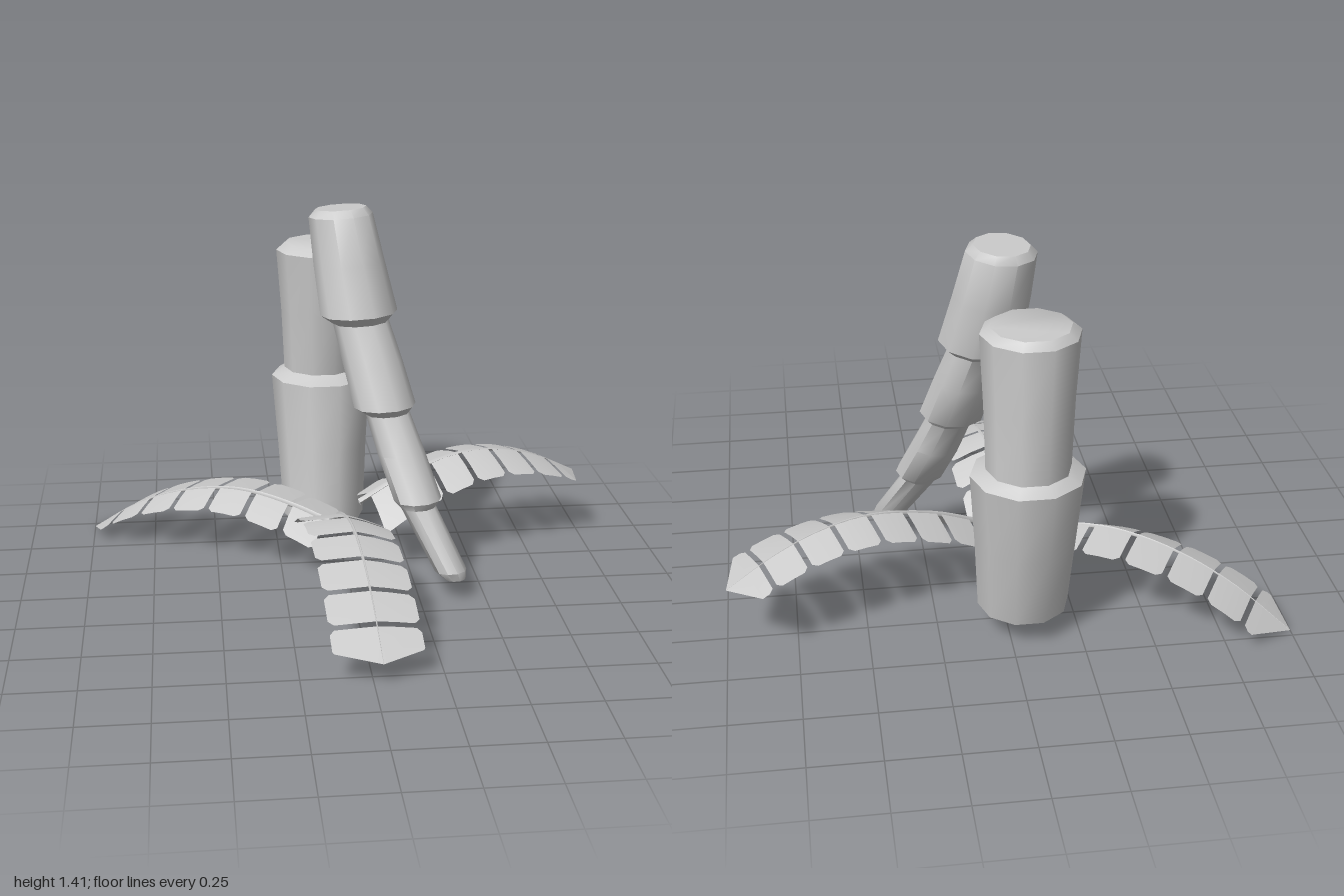
import * as THREE from 'three';
import { toCreasedNormals } from 'three/addons/utils/BufferGeometryUtils.js';

const SIDES = 10;

// Skin through ten-sided rings [x, y, z, radius], listed from bottom to top, closed at both ends
function loft(rings, tilt) {
  const pos = [], index = [];
  for (const [x, y, z, r] of rings) {
    for (let i = 0; i < SIDES; i++) {
      const a = (i / SIDES) * Math.PI * 2;
      const dx = r * Math.cos(a), dz = r * Math.sin(a);
      pos.push(x + dx, y + tilt * (dx + dz), z + dz);
    }
  }
  for (let k = 0; k < rings.length - 1; k++) {
    for (let i = 0; i < SIDES; i++) {
      const a = k * SIDES + i, b = k * SIDES + (i + 1) % SIDES;
      index.push(a, a + SIDES, b, b, a + SIDES, b + SIDES);
    }
  }
  const last = (rings.length - 1) * SIDES;
  for (let i = 1; i < SIDES - 1; i++) {
    index.push(0, i, i + 1, last, last + i + 1, last + i);
  }
  const geo = new THREE.BufferGeometry();
  geo.setAttribute('position', new THREE.Float32BufferAttribute(pos, 3));
  geo.setIndex(index);
  return toCreasedNormals(geo, THREE.MathUtils.degToRad(40));
}

// One side of a frond: seven rounded leaflets hanging from the spine
function leaflets(curve, side, { width, droop, setback }) {
  const pos = [], index = [];
  const count = 7, start = 0.05, pitch = (1 - start) / count, gap = 0.018;
  const tip = curve.getPoint(1), base = curve.getPoint(0);
  const along = new THREE.Vector3(tip.x - base.x, 0, tip.z - base.z).normalize();
  const across = new THREE.Vector3(along.z, 0, -along.x).multiplyScalar(side);
  const length = curve.getLength();
  for (let n = 0; n < count; n++) {
    const isTip = n === count - 1;
    const s0 = start + n * pitch, s1 = isTip ? 1 : s0 + pitch - gap;
    const corner = 1 - setback / length / (s1 - s0);
    // [position along the leaflet, share of the full width]
    const columns = isTip
      ? [[0, 0.9], [0.12, 1], [corner * 0.9, 1], [corner, 0.96], [1, 0]]
      : [[0, 0.88], [0.14, 1], [0.5, 1], [0.86, 1], [1, 0.88]];
    const first = pos.length / 3;
    for (const [u, share] of columns) {
      const s = s0 + (s1 - s0) * u;
      const p = curve.getPointAt(s);
      const w = width * share * (n === 0 ? 0.92 : 1);
      for (const v of [0, 0.5, 1]) {
        const q = p.clone().addScaledVector(across, w * v);
        q.y -= droop * (1 - 0.85 * s) * share * v * (0.75 + 0.25 * v);
        pos.push(q.x, q.y, q.z);
      }
    }
    for (let c = 0; c < columns.length - 1; c++) {
      for (let v = 0; v < 2; v++) {
        const a = first + c * 3 + v, b = a + 3;
        if (side > 0) index.push(a, b, a + 1, a + 1, b, b + 1);
        else index.push(a, a + 1, b, a + 1, b + 1, b);
      }
    }
  }
  const geo = new THREE.BufferGeometry();
  geo.setAttribute('position', new THREE.Float32BufferAttribute(pos, 3));
  geo.setIndex(index);
  geo.computeVertexNormals();
  return geo;
}

export function createModel() {
  const model = new THREE.Group();
  model.name = 'palmTreeParts';
  const bark = new THREE.MeshStandardMaterial({ color: 0xcccccc });
  const leaf = new THREE.MeshStandardMaterial({ color: 0xcccccc, side: THREE.DoubleSide });

  const add = (parent, name, geometry, material) => {
    const mesh = new THREE.Mesh(geometry, material);
    mesh.name = name;
    parent.add(mesh);
  };

  // Thick trunk: two stacked segments with bevelled rims
  add(model, 'thickTrunk', loft([
    [-0.055, 0.11, -0.545, 0.163],
    [-0.055, 0.4, -0.595, 0.18],
    [-0.055, 0.68, -0.63, 0.2],
    [-0.055, 0.71, -0.642, 0.148],
    [-0.057, 0.95, -0.632, 0.156],
    [-0.06, 1.2, -0.622, 0.171],
    [-0.06, 1.227, -0.63, 0.138],
  ], 0), bark);

  // Leaning trunk: four segments, each flaring out over the one below
  add(model, 'leaningTrunk', loft([
    [0.385, 0.09, 0.14, 0.04],
    [0.368, 0.122, 0.13, 0.06],
    [0.26, 0.335, 0.01, 0.066],
    [0.258, 0.362, 0, 0.09],
    [0.205, 0.52, -0.09, 0.09],
    [0.16, 0.66, -0.155, 0.084],
    [0.15, 0.688, -0.16, 0.118],
    [0.108, 0.85, -0.225, 0.114],
    [0.07, 0.99, -0.277, 0.107],
    [0.063, 1.023, -0.285, 0.148],
    [0.03, 1.21, -0.335, 0.136],
    [0.002, 1.385, -0.372, 0.123],
    [0.002, 1.412, -0.38, 0.098],
  ], 0.06), bark);

  // Fronds: spine points, then the two leaflet sides seen from the base
  const fronds = [
    {
      name: 'frontFrond',
      spine: [[-0.06, 0.23, -0.15], [-0.04, 0.335, 0.05], [-0.02, 0.365, 0.22],
        [0, 0.32, 0.43], [0.015, 0.23, 0.62], [0.03, 0.09, 0.82]],
      left: { width: 0.155, droop: 0.08, setback: 0.055 },
      right: { width: 0.168, droop: 0.01, setback: 0.055 },
    },
    {
      name: 'rightFrond',
      spine: [[-0.03, 0.2, -0.17], [-0.2, 0.255, -0.27], [-0.4, 0.285, -0.38],
        [-0.6, 0.25, -0.49], [-0.8, 0.16, -0.605], [-1, 0.01, -0.72]],
      left: { width: 0.125, droop: 0.095, setback: 0.12 },
      right: { width: 0.172, droop: 0.03, setback: 0.12 },
    },
    {
      name: 'leftFrond',
      spine: [[0.06, 0.27, -0.24], [0.25, 0.355, -0.3], [0.48, 0.408, -0.38],
        [0.65, 0.395, -0.44], [0.82, 0.34, -0.5], [0.99, 0.25, -0.56]],
      left: { width: 0.152, droop: 0.06, setback: 0.09 },
      right: { width: 0.165, droop: 0.12, setback: 0.09 },
    },
  ];
  for (const { name, spine, left, right } of fronds) {
    const frond = new THREE.Group();
    frond.name = name;
    const curve = new THREE.CatmullRomCurve3(spine.map((p) => new THREE.Vector3(...p)));
    add(frond, 'leftLeaflets', leaflets(curve, 1, left), leaf);
    add(frond, 'rightLeaflets', leaflets(curve, -1, right), leaf);
    // Slim midrib that thins out towards the tip
    const rib = new THREE.TubeGeometry(curve, 24, 0.013, 4);
    const at = rib.attributes.position;
    const p = new THREE.Vector3();
    for (let i = 0; i < at.count; i++) {
      const s = Math.floor(i / 5) / 24;
      const c = curve.getPointAt(s);
      p.fromBufferAttribute(at, i).lerp(c, s * 0.95);
      at.setXYZ(i, p.x, p.y - 0.006 * (1 - s), p.z);
    }
    rib.computeVertexNormals();
    add(frond, 'midrib', rib, leaf);
    model.add(frond);
  }
  return model;
}
